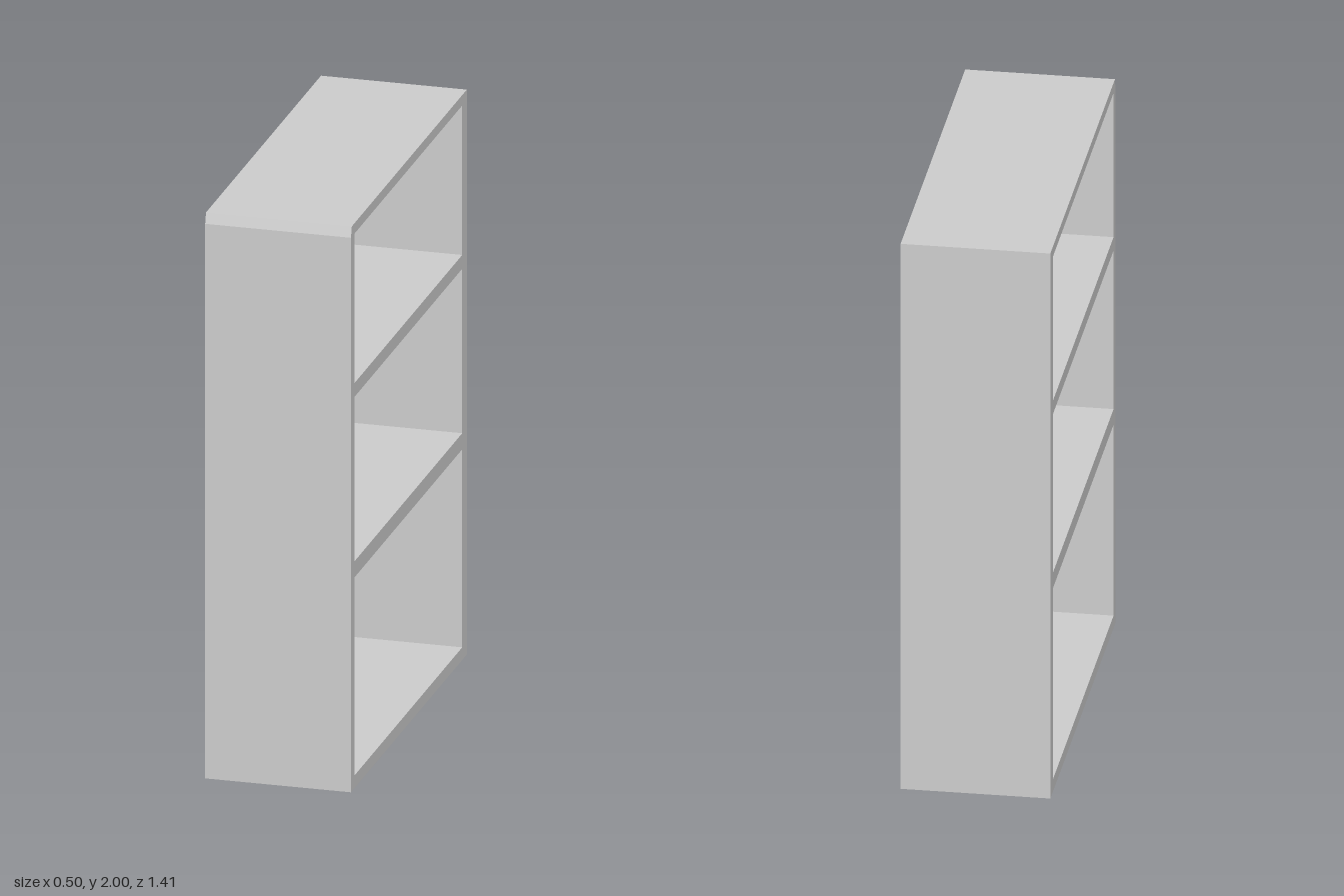
import * as THREE from 'three';

const WIDTH = 0.505; // thickness along x
const HALF = 0.707;  // half length along z

export function createModel() {
  const group = new THREE.Group();
  group.name = 'shelfUnit';

  // Side profile, drawn with u = -z; the front top edge has a slight bevel
  const profile = new THREE.Shape([
    [-HALF, 0], [HALF, 0], [HALF, 2], [-0.697, 2], [-HALF, 1.963],
  ].map(([u, y]) => new THREE.Vector2(u, y)));

  // Three open compartments between the shelves: [bottom, top]
  const u0 = -0.667, u1 = 0.651;
  for (const [y0, y1] of [[0.045, 0.746], [0.803, 1.385], [1.434, 1.963]]) {
    profile.holes.push(new THREE.Path([
      [u0, y0], [u0, y1], [u1, y1], [u1, y0],
    ].map(([u, y]) => new THREE.Vector2(u, y))));
  }

  // Frame and shelves as one solid, extruded across x
  const geometry = new THREE.ExtrudeGeometry(profile, { depth: WIDTH, bevelEnabled: false });
  geometry.translate(0, 0, -WIDTH / 2);
  geometry.rotateY(Math.PI / 2);

  const material = new THREE.MeshStandardMaterial({ color: 0xcccccc, flatShading: true });
  const frame = new THREE.Mesh(geometry, material);
  frame.name = 'frameWithShelves';
  group.add(frame);
  return group;
}
